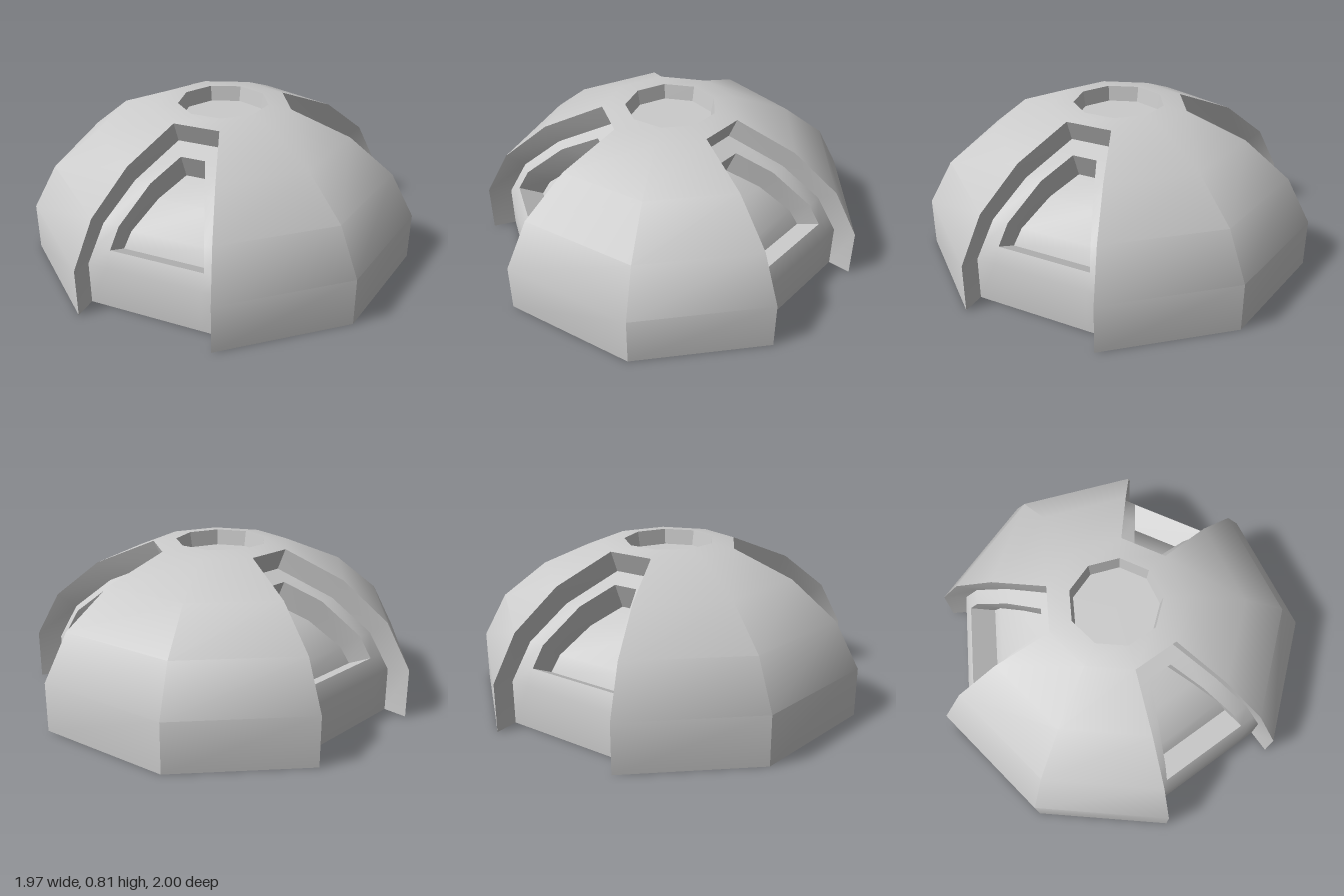
import * as THREE from 'three';
import { mergeGeometries, toCreasedNormals } from 'three/addons/utils/BufferGeometryUtils.js';

const STEP = Math.PI * 2 / 9, HALF = STEP / 2;
const CREASE = 0.66;
const material = new THREE.MeshStandardMaterial({ color: 0xcccccc });

// Dome profile: [corner radius, height]
const RINGS = [[1.0154, 0], [1.0154, 0.25], [0.892, 0.48], [0.663, 0.665], [0.356, 0.79], [0.236, 0.805]];
const HOLE = [0.222, 0.725];

const corner = ([r, y], i) => {
  const a = (i % 9) * STEP;
  return new THREE.Vector3(r * Math.cos(a), y, r * Math.sin(a));
};
const isBay = i => i % 3 === 1;

// Joins rows of points, listed from bottom to top and left to right as seen from outside
function loft(rows) {
  const pos = [];
  for (let i = 0; i < rows.length - 1; i++) {
    for (let j = 0; j < rows[i].length - 1; j++) {
      const a = rows[i][j], b = rows[i][j + 1], c = rows[i + 1][j + 1], d = rows[i + 1][j];
      for (const p of [a, b, c, a, c, d]) pos.push(p.x, p.y, p.z);
    }
  }
  const g = new THREE.BufferGeometry();
  g.setAttribute('position', new THREE.Float32BufferAttribute(pos, 3));
  return g;
}

function makeMesh(name, parts) {
  const mesh = new THREE.Mesh(toCreasedNormals(mergeGeometries(parts), CREASE), material);
  mesh.name = name;
  return mesh;
}

// Bay sections face +z: w = half width, y = height, z = distance from the axis
const section = (w, y, z) => ({ w, y, z });
const mix = (a, b, t) => section(a.w + (b.w - a.w) * t, a.y + (b.y - a.y) * t, a.z + (b.z - a.z) * t);
const left = s => new THREE.Vector3(-s.w, s.y, s.z);
const right = s => new THREE.Vector3(s.w, s.y, s.z);
const both = s => [left(s), right(s)];

// Moves a profile inward by d, with mitred corners
function inset(list, d) {
  const normal = (a, b) => new THREE.Vector2(b.y - a.y, a.z - b.z).normalize();
  return list.map((s, i) => {
    const n0 = i > 0 ? normal(list[i - 1], s) : normal(s, list[1]);
    const n1 = i < list.length - 1 ? normal(s, list[i + 1]) : n0;
    const m = n0.clone().add(n1).normalize();
    const k = d / m.dot(n0);
    return section(s.w, s.y - m.y * k, s.z - m.x * k);
  });
}

// Side walls and head wall of a recess
function recessWalls(outer, inner) {
  const n = outer.length - 1;
  return [
    loft(outer.map((s, i) => [left(s), left(inner[i])])),
    loft(outer.map((s, i) => [right(inner[i]), right(s)])),
    loft([both(inner[n]), both(outer[n])]),
  ];
}

const outerBay = RINGS.slice(0, 5).map(([r, y]) => section(r * Math.sin(HALF), y, r * Math.cos(HALF)));
const panel = inset(outerBay, 0.12);

function createBay() {
  const bay = new THREE.Group();
  bay.name = 'windowBay';

  // Window opening cut into the panel
  const sill = mix(panel[1], panel[2], 0.42), head = mix(panel[3], panel[4], 0.66);
  const frame = [sill, panel[2], panel[3], head];
  const opening = frame.map(s =>
    section(0.065 + 0.18 * (s.z - head.z) / (sill.z - head.z), s.y, s.z));
  const floor = inset(opening, 0.14);
  const full = (s, o) => [left(s), left({ ...s, w: o.w }), right({ ...s, w: o.w }), right(s)];

  bay.add(makeMesh('bayWalls', recessWalls(outerBay, panel)));
  bay.add(makeMesh('bayPanel', [
    loft([full(panel[0], opening[0]), full(panel[1], opening[0]), full(sill, opening[0])]),
    loft(frame.map((s, i) => [left(s), left(opening[i])])),
    loft(frame.map((s, i) => [right(opening[i]), right(s)])),
    loft([full(head, opening[3]), full(panel[4], opening[3])]),
  ]));
  bay.add(makeMesh('windowRecess', [
    ...recessWalls(opening, floor),
    loft([both(opening[0]), both(floor[0])]),
    loft(floor.map(both)),
  ]));
  return bay;
}

export function createModel() {
  const model = new THREE.Group();
  model.name = 'dome';
  const body = new THREE.Group();
  body.name = 'body';
  body.position.x = -0.0306;
  model.add(body);

  // Nine-sided shell, left open below the crown at the three bays
  const shell = [], hollow = [];
  for (let i = 0; i < 9; i++) {
    const rings = isBay(i) ? RINGS.slice(4) : RINGS;
    shell.push(loft(rings.map(r => [corner(r, i + 1), corner(r, i)])));
    hollow.push(loft([HOLE, RINGS[5]].map(r => [corner(r, i), corner(r, i + 1)])));
  }
  body.add(makeMesh('domeShell', shell));

  // Hollow in the crown
  body.add(makeMesh('crownHollowWall', hollow));
  const crownFloor = new THREE.Mesh(new THREE.CircleGeometry(HOLE[0], 9).rotateX(-Math.PI / 2), material);
  crownFloor.name = 'crownHollowFloor';
  crownFloor.position.y = HOLE[1];
  body.add(crownFloor);

  // Three window bays
  for (let k = 0; k < 3; k++) {
    const bay = createBay();
    bay.rotation.y = Math.PI / 6 + k * Math.PI * 2 / 3;
    body.add(bay);
  }

  // Underside, notched at the bays
  const outline = [];
  for (let i = 0; i < 9; i++) {
    const p = corner(RINGS[0], i);
    outline.push(new THREE.Vector2(p.x, p.z));
    if (!isBay(i)) continue;
    for (const side of [-1, 1]) {
      outline.push(new THREE.Vector2(panel[0].z, side * panel[0].w)
        .rotateAround(new THREE.Vector2(), (i + 0.5) * STEP));
    }
  }
  const base = new THREE.Mesh(new THREE.ShapeGeometry(new THREE.Shape(outline)).rotateX(Math.PI / 2), material);
  base.name = 'underside';
  body.add(base);
  return model;
}
